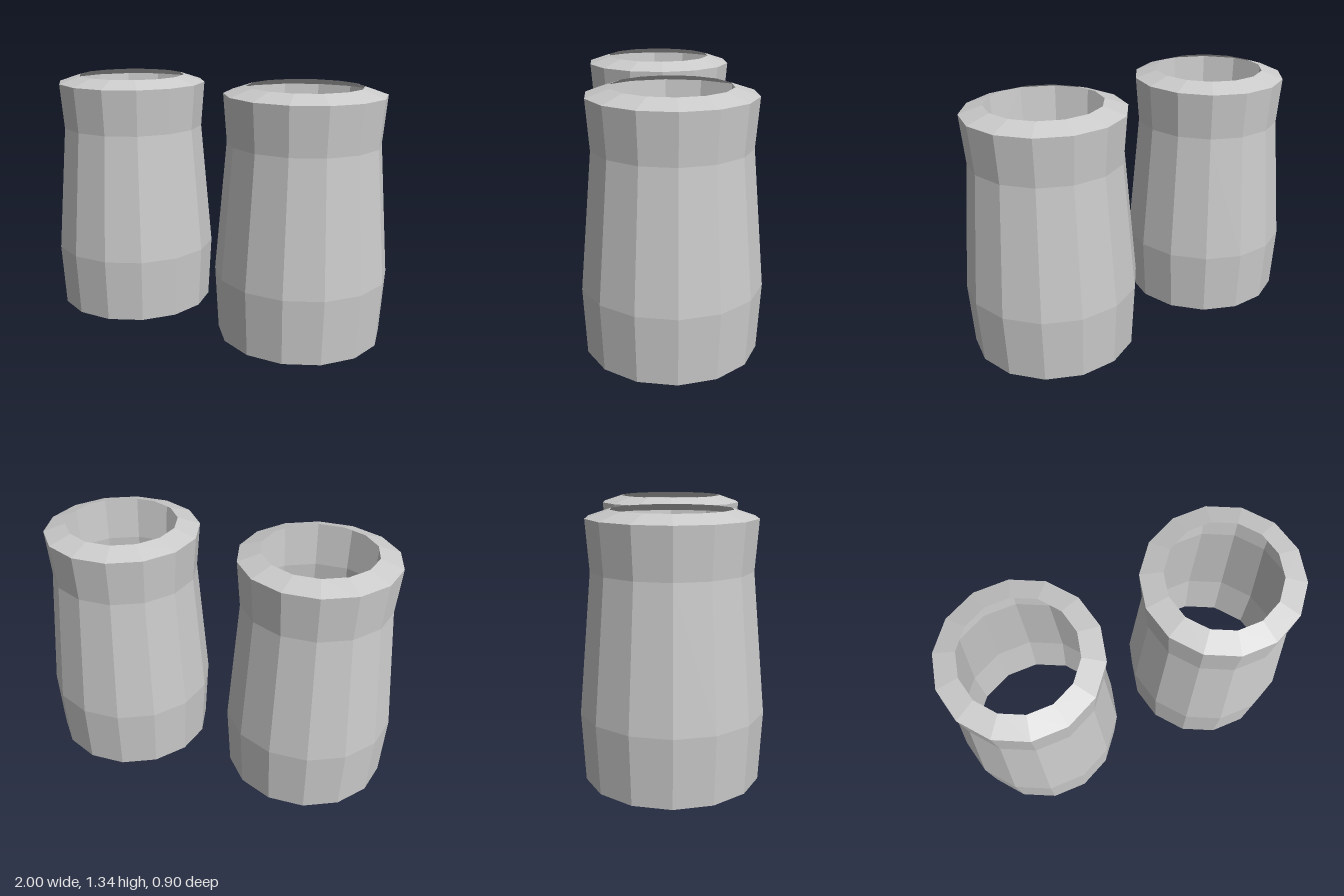
import * as THREE from 'three';

export function createModel() {
  const group = new THREE.Group();
  const material = new THREE.MeshStandardMaterial({
    color: 0xcccccc, flatShading: true, side: THREE.DoubleSide,
  });

  // Open sleeve: belly, narrow neck, flared collar and a rim sloping inward
  const profile = [
    [0.44, 0], [0.46, 0.35], [0.40, 1.05], [0.42, 1.30], [0.30, 1.34],
  ].map(([r, y]) => new THREE.Vector2(r, y));

  // Fourteen sides, with a corner pointing along x
  const sleeve = new THREE.LatheGeometry(profile, 14, Math.PI / 2);

  // Matching pair, left and right
  for (const [name, side] of [['leftSleeve', 1], ['rightSleeve', -1]]) {
    const mesh = new THREE.Mesh(sleeve, material);
    mesh.name = name;
    mesh.position.x = side * 0.54;
    group.add(mesh);
  }
  return group;
}
